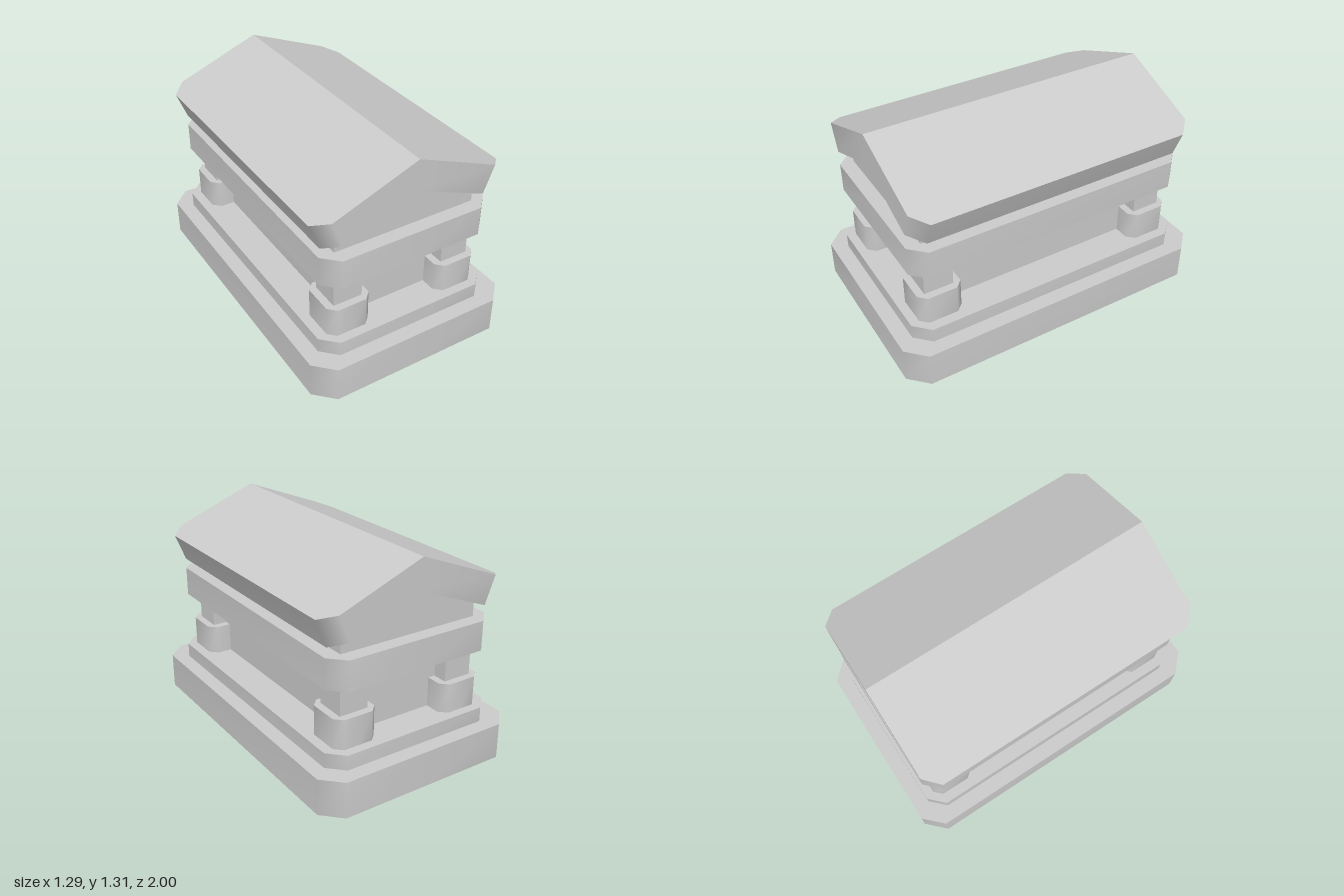
import * as THREE from 'three';
import { mergeGeometries } from 'three/addons/utils/BufferGeometryUtils.js';

const material = new THREE.MeshStandardMaterial({ color: 0xcccccc });

// Chamfered rectangle, counter-clockwise from above, split at x = 0 for a ridge
function ring(w, d, c) {
  const half = [[0, d], [w - c, d], [w, d - c], [w, c - d], [w - c, -d]];
  return [...half, ...half.map(([x, z]) => [-x, -z])];
}

function indexed(points, index) {
  const g = new THREE.BufferGeometry();
  g.setAttribute('position', new THREE.Float32BufferAttribute(points.flat(), 3));
  g.setIndex(index);
  g.computeVertexNormals();
  return g;
}

// Solid between two rings: smooth wall, sharp caps, each cap in two flat halves
function loft(bottom, top) {
  const n = top.length, h = n / 2, wall = [];
  for (let i = 0; i < n; i++) {
    const j = (i + 1) % n;
    wall.push(i, j, n + j, i, n + j, n + i);
  }
  const parts = [indexed([...bottom, ...top], wall)];
  for (const start of [0, h]) {
    const pick = (r) => Array.from({ length: h + 1 }, (_, k) => r[(start + k) % n]);
    const up = [], down = [];
    for (let k = 1; k < h; k++) {
      up.push(0, k, k + 1);
      down.push(0, k + 1, k);
    }
    parts.push(indexed(pick(top), up), indexed(pick(bottom), down));
  }
  return mergeGeometries(parts);
}

function slab(w, d, c, y0, y1) {
  const r = ring(w, d, c);
  return loft(r.map(([x, z]) => [x, y0, z]), r.map(([x, z]) => [x, y1, z]));
}

export function createModel() {
  const model = new THREE.Group();
  const add = (name, geometry, x = 0, y = 0, z = 0) => {
    const mesh = new THREE.Mesh(geometry, material);
    mesh.name = name;
    mesh.position.set(x, y, z);
    model.add(mesh);
  };

  // Stepped base
  add('base', slab(0.645, 1, 0.11, 0, 0.22));
  add('step', slab(0.555, 0.91, 0.09, 0.22, 0.31));

  // Inner chamber, set back behind the pillar faces
  add('chamber', new THREE.BoxGeometry(0.72, 0.36, 1.44), 0, 0.49, 0);

  // Corner pillars on chamfered feet
  const foot = slab(0.135, 0.135, 0.045, 0.31, 0.49);
  const pillar = new THREE.BoxGeometry(0.18, 0.18, 0.18);
  for (const sx of [-1, 1]) {
    for (const sz of [-1, 1]) {
      add('pillarFoot', foot, sx * 0.36, 0, sz * 0.72);
      add('pillar', pillar, sx * 0.36, 0.58, sz * 0.72);
    }
  }

  // Beam course
  add('beam', slab(0.54, 0.895, 0.09, 0.67, 0.85));

  // Gable block filling the space under the roof
  const gable = new THREE.Shape();
  gable.moveTo(-0.45, 0.85).lineTo(0.45, 0.85).lineTo(0.45, 0.95);
  gable.lineTo(0, 1.126).lineTo(-0.45, 0.95).closePath();
  add('gable', new THREE.ExtrudeGeometry(gable, { depth: 1.62, bevelEnabled: false }), 0, 0, -0.81);

  // Pitched roof, thickened square to its slope
  const pitch = 0.392;
  const plan = ring(0.6, 0.895, 0.085);
  const roofTop = plan.map(([x, z]) => [x, 1.31 - pitch * Math.abs(x), z]);
  const roofUnder = plan.map(([x, z]) => {
    const inner = x - 0.065 * Math.sign(x);
    return [inner, 1.12 - pitch * Math.abs(inner), z];
  });
  add('roof', loft(roofUnder, roofTop));

  return model;
}
